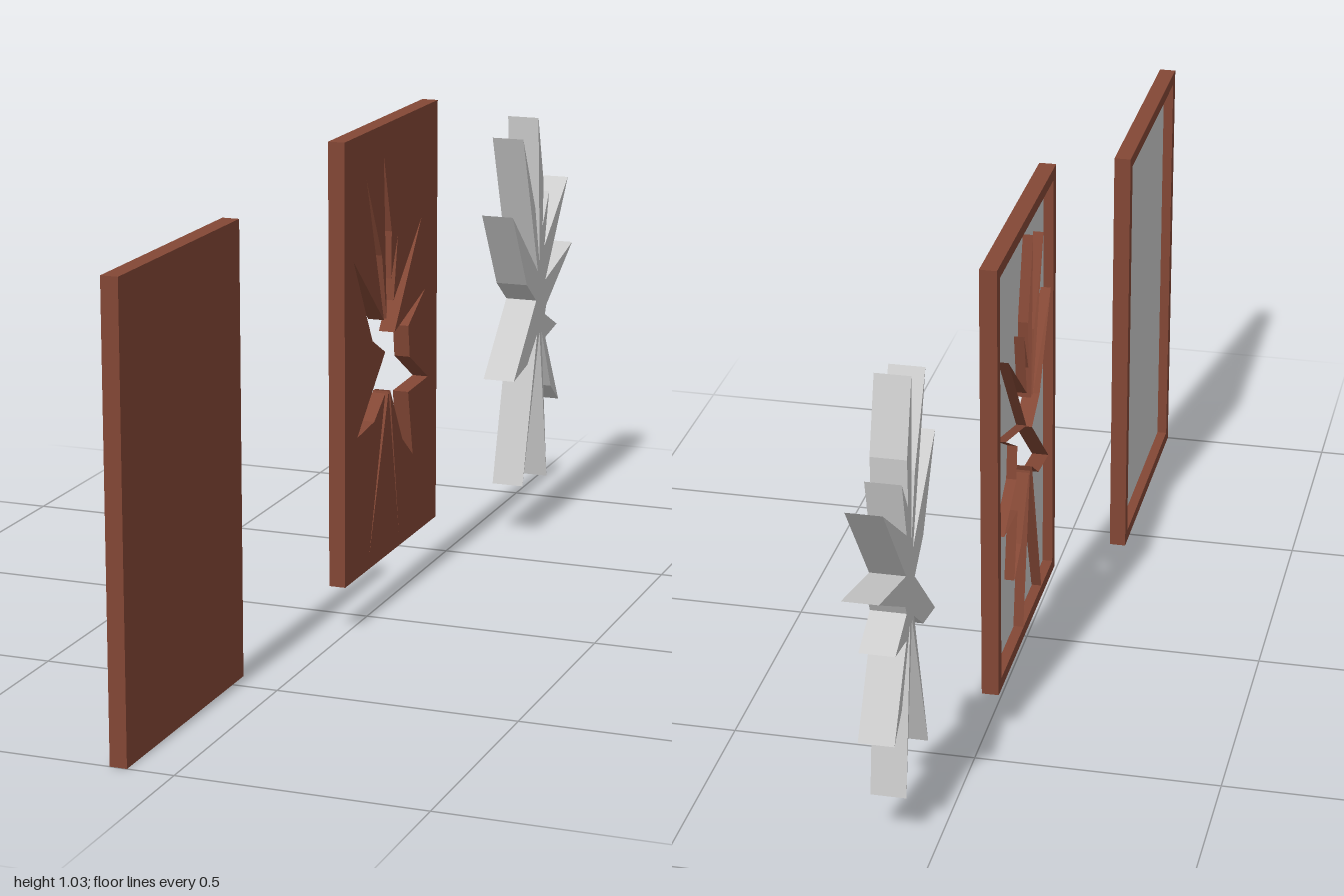
import * as THREE from 'three';

const brown = new THREE.MeshStandardMaterial({ color: 0x834735, flatShading: true, side: THREE.DoubleSide });
const grey = new THREE.MeshStandardMaterial({ color: 0xcccccc, flatShading: true, side: THREE.DoubleSide });

// Outlines as [distance towards the back, height]
const burstHole = [
  [0.09, 0.97], [0.138, 0.8], [0.135, 0.7], [0.175, 0.785], [0.15, 0.65], [0.32, 0.795], [0.155, 0.58],
  [0.345, 0.635], [0.24, 0.575], [0.25, 0.505], [0.365, 0.435], [0.24, 0.43], [0.27, 0.285], [0.205, 0.335],
  [0.13, 0.46], [0.185, 0.13], [0.12, 0.46], [0.005, 0.13], [0.1, 0.46], [0.035, 0.415], [-0.065, 0.405],
  [0.1, 0.55], [0.025, 0.59], [-0.085, 0.78], [0.092, 0.62], [-0.01, 0.935], [0.08, 0.76], [0.108, 0.62],
];
const burst = [
  [0.735, 0.951], [0.778, 0.8], [0.775, 0.7], [0.82, 0.77], [0.79, 0.65], [0.96, 0.778], [0.8, 0.57],
  [1.0, 0.618], [0.81, 0.51], [0.8, 0.49], [0.89, 0.448], [0.805, 0.435], [0.91, 0.265], [0.85, 0.31],
  [0.775, 0.46], [0.828, 0.101], [0.762, 0.46], [0.65, 0.123], [0.745, 0.455], [0.675, 0.4], [0.58, 0.383],
  [0.735, 0.535], [0.665, 0.585], [0.56, 0.758], [0.745, 0.6], [0.628, 0.92], [0.72, 0.75], [0.757, 0.61],
];

const toVectors = (pts) => pts.map(([u, v]) => new THREE.Vector2(u, v));

function rectangle(u0, v0, u1, v1) {
  return [[u0, v0], [u1, v0], [u1, v1], [u0, v1]];
}

function outline(pts, hole) {
  const shape = new THREE.Shape(toVectors(pts));
  if (hole) shape.holes.push(new THREE.Path(toVectors(hole)));
  return shape;
}

// Turn a drawn shape to face +x and place it at x
function place(name, geometry, material, x) {
  geometry.rotateY(Math.PI / 2);
  geometry.translate(x, 0, 0);
  const mesh = new THREE.Mesh(geometry, material);
  mesh.name = name;
  return mesh;
}

function slab(name, shape, material, x, depth) {
  return place(name, new THREE.ExtrudeGeometry(shape, { depth, bevelEnabled: false }), material, x);
}

// Open band running around an outline
function band(name, pts, x, depth) {
  const positions = [];
  pts.forEach(([u0, v0], i) => {
    const [u1, v1] = pts[(i + 1) % pts.length];
    positions.push(u0, v0, 0, u1, v1, 0, u1, v1, depth, u0, v0, 0, u1, v1, depth, u0, v0, depth);
  });
  const geometry = new THREE.BufferGeometry();
  geometry.setAttribute('position', new THREE.Float32BufferAttribute(positions, 3));
  geometry.computeVertexNormals();
  return place(name, geometry, brown, x);
}

// Shallow tray: facing sheet, raised rim and grey lining, optionally pierced
function panel(name, x, u, v, hole) {
  const width = 0.555, height = 0.93, thick = 0.035, recess = 0.022, rim = 0.025;
  const outer = rectangle(u, v, u + width, v + height);
  const inner = rectangle(u + rim, v + rim, u + width - rim, v + height - rim);
  const group = new THREE.Group();
  group.name = name;
  group.add(
    slab('facing', outline(outer, hole), brown, x + recess, thick - recess),
    slab('rim', outline(outer, inner), brown, x, recess),
    place('lining', new THREE.ShapeGeometry(outline(inner, hole)), grey, x + recess - 0.001),
  );
  if (hole) group.add(band('openingWall', hole, x, recess));
  return group;
}

export function createModel() {
  const model = new THREE.Group();
  model.name = 'explodedPanels';
  model.add(
    panel('plainPanel', -0.13, -1, 0),
    panel('piercedPanel', -0.032, -0.135, 0.103, burstHole),
    slab('burst', outline(burst), grey, 0.058, 0.071),
  );
  return model;
}
